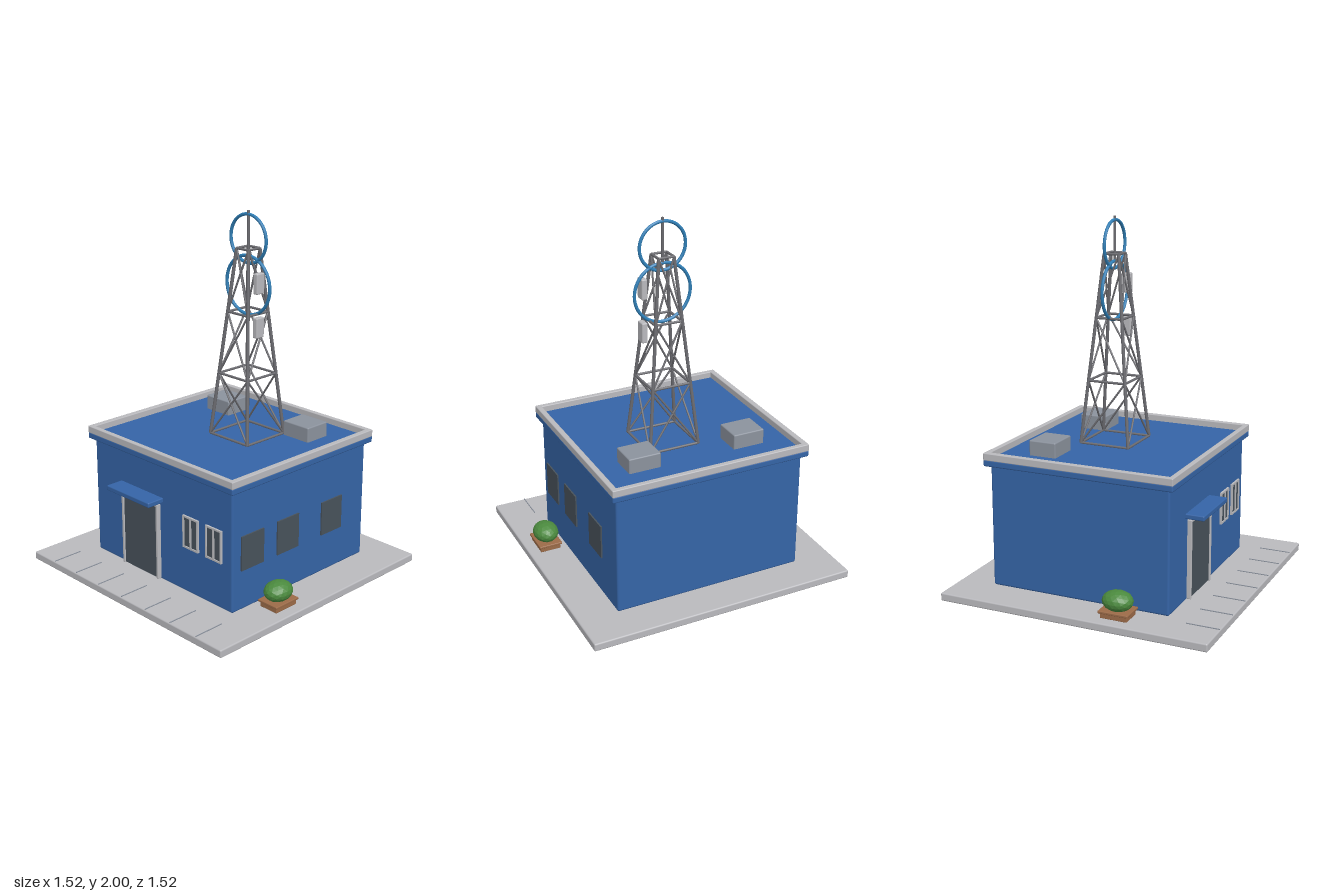
import * as THREE from 'three';
import { RoundedBoxGeometry } from 'three/addons/geometries/RoundedBoxGeometry.js';

const material = (name, color, extra = {}) => {
  const m = new THREE.MeshStandardMaterial({ color, ...extra });
  m.name = name;
  return m;
};

export function createModel() {
  const model = new THREE.Group();
  model.name = 'radioStation';

  const blue = material('wallBlue', 0x3564a6);
  const concrete = material('concreteGrey', 0xb9b9bd);
  const unitGrey = material('roofUnitGrey', 0x8b929d);
  const glass = material('darkGlass', 0x48525b);
  const steel = material('towerSteel', 0x6c6c71);
  const ringBlue = material('ringBlue', 0x3080b8);
  const wood = material('planterWood', 0x9c6b48);
  const leaf = material('leafGreen', 0x4b8a3e, { flatShading: true });

  // Helpers: a box given by its limits, and a rod between two points
  const add = (name, geometry, mat, parent = model) => {
    const mesh = new THREE.Mesh(geometry, mat);
    mesh.name = name;
    parent.add(mesh);
    return mesh;
  };
  const box = (name, mat, [x0, x1], [y0, y1], [z0, z1], bevel = 0, parent = model) => {
    const size = [x1 - x0, y1 - y0, z1 - z0];
    const geometry = bevel ? new RoundedBoxGeometry(...size, 2, bevel) : new THREE.BoxGeometry(...size);
    const mesh = add(name, geometry, mat, parent);
    mesh.position.set((x0 + x1) / 2, (y0 + y1) / 2, (z0 + z1) / 2);
    return mesh;
  };
  const up = new THREE.Vector3(0, 1, 0);
  const rod = (name, a, b, radius, parent) => {
    const dir = b.clone().sub(a);
    const mesh = add(name, new THREE.CylinderGeometry(radius, radius, dir.length(), 8), steel, parent);
    mesh.position.copy(a).add(b).multiplyScalar(0.5);
    mesh.quaternion.setFromUnitVectors(up, dir.normalize());
    return mesh;
  };

  // Ground slab with paving joints along the front
  box('groundSlab', concrete, [-0.762, 0.762], [0, 0.045], [-0.762, 0.762], 0.008);
  for (let i = -3; i <= 3; i++) {
    const x = i * 0.193;
    box('pavingJoint', unitGrey, [x - 0.002, x + 0.002], [0.043, 0.049], [0.578, 0.757]);
  }

  // Building body, roof slab and parapet
  box('walls', blue, [-0.543, 0.543], [0.045, 0.725], [-0.561, 0.468], 0.012);
  box('roofSlab', blue, [-0.572, 0.572], [0.72, 0.757], [-0.59, 0.496], 0.008);
  const parapetY = [0.752, 0.793];
  for (const s of [-1, 1]) {
    const xs = s < 0 ? [-0.572, -0.54] : [0.54, 0.572];
    box('sideParapet', concrete, xs, parapetY, [-0.59, 0.496], 0.005);
    const zs = s < 0 ? [-0.59, -0.561] : [0.467, 0.496];
    box('endParapet', concrete, [-0.572, 0.572], parapetY, zs, 0.005);
  }

  // Roof units
  for (const s of [-1, 1]) {
    const xs = s < 0 ? [-0.398, -0.216] : [0.216, 0.398];
    box('roofUnit', unitGrey, xs, [0.75, 0.84], [-0.407, -0.25], 0.007);
  }

  // Door with frame and canopy
  box('door', glass, [-0.288, -0.018], [0.055, 0.478], [0.46, 0.484]);
  box('doorJamb', concrete, [-0.302, -0.286], [0.05, 0.49], [0.46, 0.492], 0.004);
  box('doorJamb', concrete, [-0.02, -0.004], [0.05, 0.49], [0.46, 0.492], 0.004);
  box('doorHead', concrete, [-0.302, -0.004], [0.474, 0.49], [0.46, 0.492], 0.004);
  box('canopy', blue, [-0.328, 0.018], [0.502, 0.53], [0.45, 0.571], 0.006);

  // Front windows: pane, frame and mullion
  for (const x of [0.24, 0.413]) {
    const win = new THREE.Group();
    win.name = 'frontWindow';
    model.add(win);
    box('pane', glass, [x - 0.054, x + 0.054], [0.312, 0.485], [0.46, 0.474], 0, win);
    for (const dx of [-0.0535, 0, 0.0535]) {
      box('frameUpright', concrete, [x + dx - 0.005, x + dx + 0.005], [0.307, 0.49], [0.46, 0.48], 0, win);
    }
    for (const y of [0.312, 0.485]) {
      box('frameRail', concrete, [x - 0.0585, x + 0.0585], [y - 0.005, y + 0.005], [0.46, 0.479], 0, win);
    }
  }

  // Plain windows on the left side
  for (const z of [0.325, 0.059, -0.288]) {
    box('sideWindow', glass, [0.535, 0.551], [0.27, 0.462], [z - 0.082, z + 0.082]);
  }

  // Planters with bushes
  for (const s of [-1, 1]) {
    const planter = new THREE.Group();
    planter.name = 'planter';
    planter.position.set(s * 0.641, 0, 0.227);
    model.add(planter);
    box('planterBox', wood, [-0.058, 0.058], [0.045, 0.076], [-0.075, 0.075], 0.003, planter);
    box('planterRim', wood, [-0.067, 0.067], [0.072, 0.086], [-0.084, 0.084], 0.004, planter);
    const bush = add('bush', new THREE.IcosahedronGeometry(1, 2), leaf, planter);
    bush.scale.set(0.071, 0.055, 0.085);
    bush.position.y = 0.13;
  }

  // Lattice tower: four tapered legs, level rings and diagonals
  const tower = new THREE.Group();
  tower.name = 'latticeTower';
  tower.position.set(0.066, 0, -0.117);
  model.add(tower);
  const levels = [0.762, 1.11, 1.455, 1.8];
  const corners = [[-1, 1], [1, 1], [1, -1], [-1, -1]];
  const node = (corner, level) => {
    const y = levels[level];
    const half = THREE.MathUtils.mapLinear(y, levels[0], levels[3], 0.143, 0.043);
    return new THREE.Vector3(corners[corner % 4][0] * half, y, corners[corner % 4][1] * half);
  };
  for (let c = 0; c < 4; c++) {
    rod('towerLeg', node(c, 0), node(c, 3), 0.0095, tower);
    for (let l = 0; l < 4; l++) {
      rod('towerRail', node(c, l), node(c + 1, l), 0.007, tower);
      if (l === 3) continue;
      // Front and back are cross braced, the sides zigzag
      const rising = (l % 2 === 1) === (c === 1);
      if (c % 2 === 0 || rising) rod('towerBrace', node(c, l), node(c + 1, l + 1), 0.0055, tower);
      if (c % 2 === 0 || !rising) rod('towerBrace', node(c + 1, l), node(c, l + 1), 0.0055, tower);
    }
  }

  // Mast and signal rings
  rod('mast', new THREE.Vector3(0, 1.76, 0), new THREE.Vector3(0, 2, 0), 0.008, tower);
  for (const [y, radius] of [[1.85, 0.13], [1.6, 0.16]]) {
    add('signalRing', new THREE.TorusGeometry(radius, 0.009, 8, 48), ringBlue, tower).position.y = y;
  }

  // Antenna panels on the left of the tower
  for (const y of [1.63, 1.391]) {
    box('antennaPanel', concrete, [0.087, 0.119], [y - 0.056, y + 0.056], [-0.005, 0.053], 0.007, tower);
  }

  return model;
}
